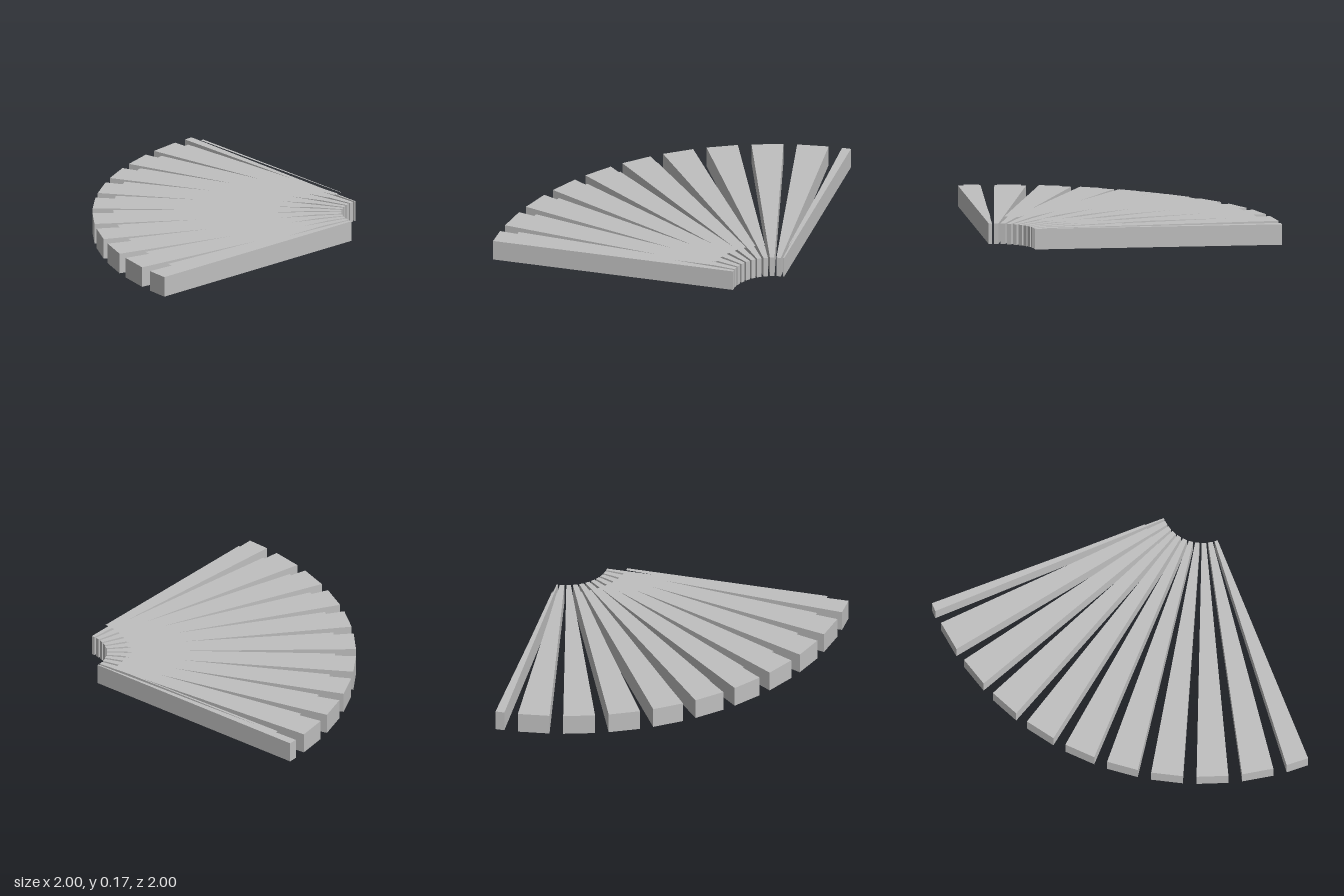
import * as THREE from 'three';

const PIVOT = 1;            // fan centre at x = 1, z = 1
const HEIGHT = 0.143;
const PANEL_Y = 0.17;       // thin panels hover just above the wedges
const PITCH = 9, WIDTH = 6.3, INSET = 0.55; // degrees

// Straight-ended sector between two radii; angles run from -z towards -x
function sector(r0, r1, a0, a1) {
  const at = (r, deg) => {
    const a = THREE.MathUtils.degToRad(deg);
    return new THREE.Vector2(-r * Math.sin(a), r * Math.cos(a));
  };
  return new THREE.Shape([at(r0, a0), at(r1, a0), at(r1, a1), at(r0, a1)]);
}

function addFlat(parent, name, geometry, material, y) {
  geometry.rotateX(-Math.PI / 2);
  const mesh = new THREE.Mesh(geometry, material);
  mesh.name = name;
  mesh.position.set(PIVOT, y, PIVOT);
  parent.add(mesh);
}

export function createModel() {
  const group = new THREE.Group();
  group.name = 'quarterFan';
  const grey = new THREE.MeshStandardMaterial({ color: 0xbfbfbf });
  grey.name = 'grey';
  grey.side = THREE.DoubleSide;

  for (let i = 0; i <= 10; i++) {
    // The first and last wedges are cut off at the quarter-circle limits
    const start = Math.max(0, i * PITCH - PITCH / 2);
    const end = Math.min(90, i * PITCH - PITCH / 2 + WIDTH);
    const blade = new THREE.Group();
    blade.name = 'blade' + (i + 1);

    // Solid wedge
    addFlat(blade, 'wedge', new THREE.ExtrudeGeometry(
      sector(0.286, 2, start, end), { depth: HEIGHT, bevelEnabled: false }), grey, 0);

    // Inset sheet above it
    addFlat(blade, 'topPanel', new THREE.ShapeGeometry(
      sector(0.429, 1.857, start + INSET, end - INSET)), grey, PANEL_Y);
    group.add(blade);
  }
  return group;
}
